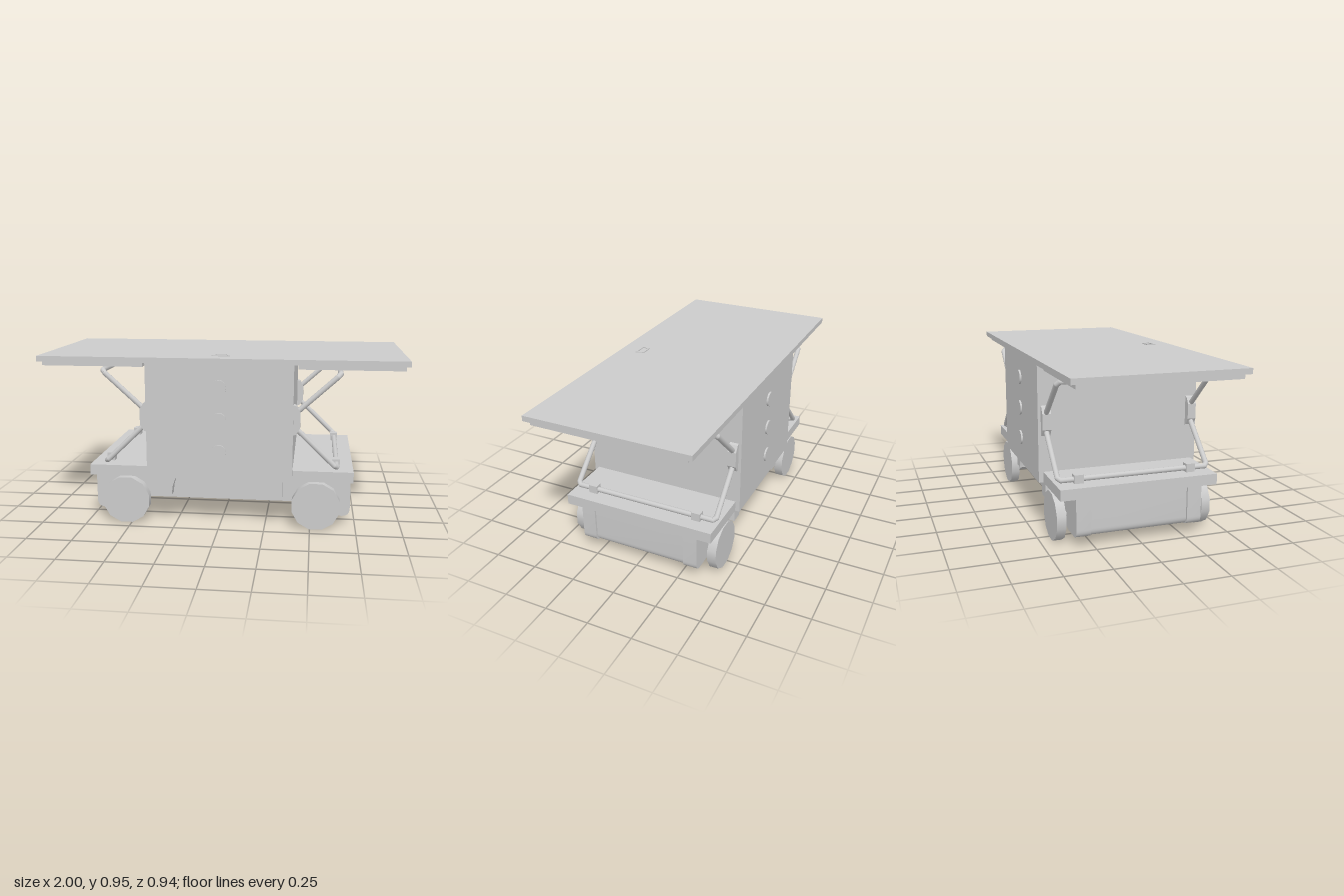
import * as THREE from 'three';
import { toCreasedNormals } from 'three/addons/utils/BufferGeometryUtils.js';

const grey = new THREE.MeshStandardMaterial({ color: 0xcccccc });

function add(parent, name, geometry) {
  const mesh = new THREE.Mesh(geometry, grey);
  mesh.name = name;
  parent.add(mesh);
  return mesh;
}

// Box given by its min and max on each axis
function box(parent, name, [x0, x1], [y0, y1], [z0, z1]) {
  const mesh = add(parent, name, new THREE.BoxGeometry(x1 - x0, y1 - y0, z1 - z0));
  mesh.position.set((x0 + x1) / 2, (y0 + y1) / 2, (z0 + z1) / 2);
  return mesh;
}

// Disc or axle lying along z
function disc(parent, name, r, sides, x, y, z0, z1) {
  const g = new THREE.CylinderGeometry(r, r, Math.abs(z1 - z0), sides);
  g.rotateY(Math.PI / sides).rotateX(Math.PI / 2);
  add(parent, name, g).position.set(x, y, (z0 + z1) / 2);
}

// Profile in x-y, extruded from z0 to z1
function slab(parent, name, shape, z0, z1) {
  const g = new THREE.ExtrudeGeometry(shape, { depth: z1 - z0, bevelEnabled: false, curveSegments: 8 });
  return add(parent, name, toCreasedNormals(g.translate(0, 0, z0), 0.5));
}

const polygon = (pts) => new THREE.Shape(pts.map(([x, y]) => new THREE.Vector2(x, y)));

// Round rod through a list of points, with ball joints at the bends
function rod(parent, name, pts, r) {
  const group = new THREE.Group();
  group.name = name;
  const up = new THREE.Vector3(0, 1, 0);
  pts.forEach((p, i) => {
    const a = new THREE.Vector3(...p);
    add(group, 'rodBend', new THREE.SphereGeometry(r, 12, 8)).position.copy(a);
    if (i === pts.length - 1) return;
    const d = new THREE.Vector3(...pts[i + 1]).sub(a);
    const m = add(group, 'rodSegment', new THREE.CylinderGeometry(r, r, d.length(), 12));
    m.position.copy(a).addScaledVector(d, 0.5);
    m.quaternion.setFromUnitVectors(up, d.normalize());
  });
  parent.add(group);
}

// Underbody side profile: shallow belly with a deeper, rounded block at each end
function underbodyShape(end) {
  const s = new THREE.Shape();
  s.moveTo(-end, 0.28);
  s.lineTo(-end, 0.105);
  s.quadraticCurveTo(-end, 0.06, -end + 0.045, 0.06);
  s.lineTo(-0.57, 0.06);
  s.lineTo(-0.42, 0.135);
  s.lineTo(0.42, 0.135);
  s.lineTo(0.57, 0.06);
  s.lineTo(end - 0.045, 0.06);
  s.quadraticCurveTo(end, 0.06, end, 0.105);
  s.lineTo(end, 0.28);
  s.closePath();
  return s;
}

// Everything found on one end of the cart (+x)
function createEnd(name) {
  const end = new THREE.Group();
  end.name = name;

  box(end, 'tableLeaf', [0.4, 1], [0.915, 0.945], [-0.46, 0.46]);
  box(end, 'leafPanel', [0.42, 0.98], [0.89, 0.915], [-0.43, 0.43]);
  box(end, 'deck', [0.4, 0.73], [0.277, 0.336], [-0.435, 0.435]);

  // Folding supports
  rod(end, 'upperSupport', [
    [0.425, 0.665, -0.42], [0.63, 0.852, -0.42], [0.645, 0.867, -0.405],
    [0.645, 0.867, 0.405], [0.63, 0.852, 0.42], [0.425, 0.665, 0.42]], 0.0145);
  rod(end, 'lowerSupport', [
    [0.425, 0.56, -0.42], [0.625, 0.367, -0.42], [0.638, 0.357, -0.405],
    [0.638, 0.357, 0.405], [0.625, 0.367, 0.42], [0.425, 0.56, 0.42]], 0.0145);

  // Scalloped catch holding the upper support under the leaf
  const c = new THREE.Shape();
  c.moveTo(-0.081, 0.89);
  c.lineTo(-0.081, 0.858);
  c.quadraticCurveTo(-0.06, 0.832, -0.045, 0.836);
  c.quadraticCurveTo(-0.03, 0.85, 0, 0.85);
  c.quadraticCurveTo(0.03, 0.85, 0.045, 0.836);
  c.quadraticCurveTo(0.06, 0.832, 0.081, 0.858);
  c.lineTo(0.081, 0.89);
  slab(end, 'leafCatch', c, 0.62, 0.662).geometry.rotateY(Math.PI / 2);

  for (const s of [-1, 1]) {
    // Hinge block on the cabinet wall
    slab(end, 'hinge', polygon([
      [0.4, 0.535], [0.415, 0.54], [0.437, 0.575], [0.437, 0.66], [0.415, 0.695], [0.4, 0.7],
    ]), s * 0.42 - 0.024, s * 0.42 + 0.024);
    // Clip holding the lower support to the deck
    box(end, 'deckClip', [0.615, 0.657], [0.336, 0.382], [s * 0.314 - 0.025, s * 0.314 + 0.025]);
    // Wheel and its stub axle
    disc(end, 'wheel', 0.135, 12, 0.53, 0.135, s * 0.385, s * 0.435);
    disc(end, 'axle', 0.018, 12, 0.53, 0.132, s * 0.34, s * 0.39);
    // Step bracket beside the underbody
    const b = polygon([[0.345, 0.28], [0.24, 0.28], [0.253, 0.26], [0.268, 0.215], [0.273, 0.165], [0.345, 0.165]]);
    slab(end, 'sideBracket', b, Math.min(s * 0.345, s * 0.41), Math.max(s * 0.345, s * 0.41));
  }
  return end;
}

export function createModel() {
  const model = new THREE.Group();
  model.name = 'foldingTableCart';

  box(model, 'cabinet', [-0.4, 0.4], [0.277, 0.945], [-0.46, 0.46]);

  // Underbody core with slightly prouder side rails
  slab(model, 'underbody', underbodyShape(0.708), -0.27, 0.27);
  slab(model, 'underbodyRail', underbodyShape(0.72), 0.27, 0.35);
  slab(model, 'underbodyRail', underbodyShape(0.72), -0.35, -0.27);

  // Round buttons on the front and back of the cabinet
  for (const s of [-1, 1])
    for (const y of [0.79, 0.612, 0.434])
      disc(model, 'button', 0.041, 24, 0, y, s * 0.45, s * 0.47);

  // Thin pull frame on top
  const frame = polygon([[-0.05, -0.025], [0.05, -0.025], [0.035, 0.025], [-0.035, 0.025]]);
  frame.holes.push(polygon([[-0.036, -0.016], [-0.026, 0.016], [0.026, 0.016], [0.036, -0.016]]));
  const pull = slab(model, 'topPull', frame, 0, 0.01);
  pull.rotation.x = -Math.PI / 2;
  pull.position.set(0, 0.94, 0.335);

  const left = createEnd('leftEnd');
  const right = createEnd('rightEnd');
  right.rotation.y = Math.PI;
  model.add(left, right);
  return model;
}
